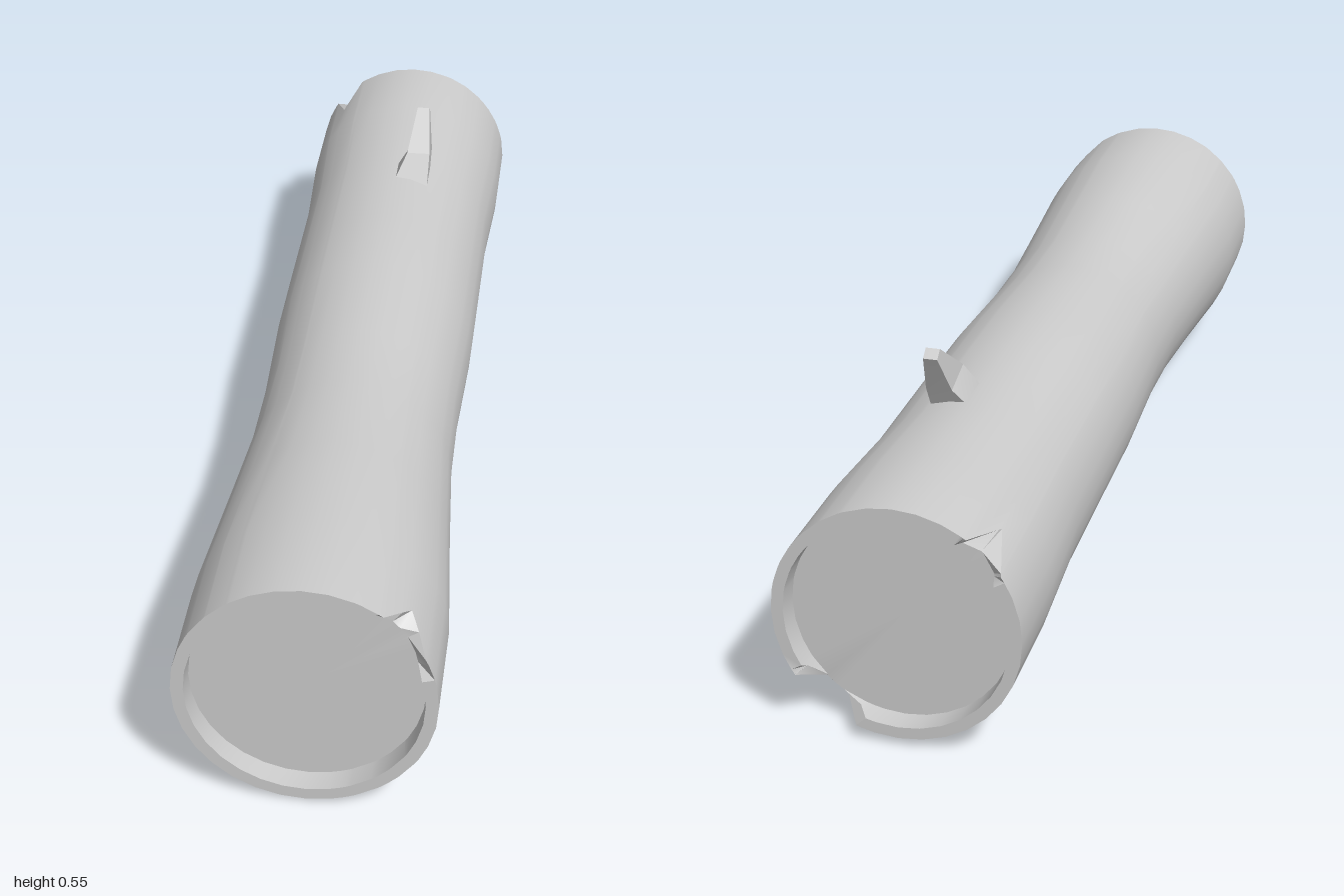
import * as THREE from 'three';
import { toCreasedNormals } from 'three/addons/utils/BufferGeometryUtils.js';

// Skin closed loops of points, each loop counter-clockwise about the loft direction
function loft(loops, crease) {
  const n = loops[0].length, pos = [], index = [];
  loops.forEach(loop => loop.forEach(p => pos.push(...p)));
  for (let j = 0; j < loops.length - 1; j++) {
    for (let i = 0; i < n; i++) {
      const a = j * n + i, b = j * n + (i + 1) % n;
      index.push(a, b, b + n, a, b + n, a + n);
    }
  }
  const geo = new THREE.BufferGeometry();
  geo.setAttribute('position', new THREE.Float32BufferAttribute(pos, 3));
  geo.setIndex(index);
  return toCreasedNormals(geo, crease);
}

const rad = THREE.MathUtils.degToRad;
const SIDES = 32;
const CAP = 0.04; // how far the end grain sits behind the rim

// Splits in the bark: centre angle, outer and inner half widths (degrees), depth
const frontSplits = [{ at: 40, outer: 14, inner: 25, depth: 0.07 }];
const backSplits = [
  { at: 308, outer: 18, inner: 21, depth: 0.11 },
  { at: 136, outer: 11, inner: 14, depth: 0.1 },
];

// Trunk stations: z, radius, centre height
const stations = [
  [-0.8, 0.215, 0.234], [-0.58, 0.204, 0.233], [-0.3, 0.203, 0.235],
  [-0.1, 0.202, 0.235], [0.15, 0.193, 0.233], [0.33, 0.194, 0.231],
  [0.55, 0.208, 0.231], [0.8, 0.226, 0.228],
];

// Even angles plus the edges and centre of every split
function trunkAngles() {
  const set = new Set();
  for (let i = 0; i < SIDES; i++) set.add(i * 360 / SIDES);
  for (const s of [...frontSplits, ...backSplits]) {
    for (const o of [-s.inner, -s.outer, 0, s.outer, s.inner]) set.add((s.at + o + 360) % 360);
  }
  return [...set].sort((a, b) => a - b);
}

const cut = (splits, key, angle) => splits.reduce((m, s) =>
  Math.max(m, s.depth * (1 - Math.abs(angle - s.at) / s[key])), 0);

function trunkGeometry() {
  const angles = trunkAngles();
  const ring = (r, cy, zAt) => angles.map(a =>
    [r * Math.cos(rad(a)), cy + r * Math.sin(rad(a)), zAt(a)]);

  // One end, from the outer rim inward to the centre of the end grain
  const end = (sign, rOut, rIn, cy, splits) => [
    ring(rOut, cy, a => sign * (1 - cut(splits, 'outer', a))),
    ring(rIn, cy, a => sign * (1 - Math.min(CAP, cut(splits, 'inner', a)))),
    ring(rIn - 0.002, cy, () => sign * (1 - CAP)),
    ring(0, cy, () => sign * (1 - CAP)),
  ];
  const back = end(-1, 0.216, 0.195, 0.233, backSplits).reverse();
  const body = stations.map(([z, r, cy]) => ring(r, cy, () => z));
  const front = end(1, 0.225, 0.203, 0.232, frontSplits);
  return loft([...back, ...body, ...front], rad(35));
}

// Broken twig: four-cornered sections, each corner [x, y, z]
function twigGeometry() {
  const section = (x0, x1, zf, yf, zb, yb) =>
    [[x0, yf, zf], [x1, yf, zf], [x1, yb, zb], [x0, yb, zb]];
  const tip = section(0.044, 0.07, -0.59, 0.549, -0.607, 0.535);
  return loft([
    section(0, 0.076, -0.465, 0.42, -0.55, 0.42),
    section(0.03, 0.078, -0.5, 0.483, -0.57, 0.462),
    tip,
    tip.map(() => [0.057, 0.542, -0.599]),
  ], rad(15));
}

export function createModel() {
  const group = new THREE.Group();
  group.name = 'log';
  const material = new THREE.MeshStandardMaterial({ color: 0xcccccc });
  const add = (name, geometry) => {
    const mesh = new THREE.Mesh(geometry, material);
    mesh.name = name;
    group.add(mesh);
  };
  add('trunk', trunkGeometry());
  add('twig', twigGeometry());
  return group;
}
